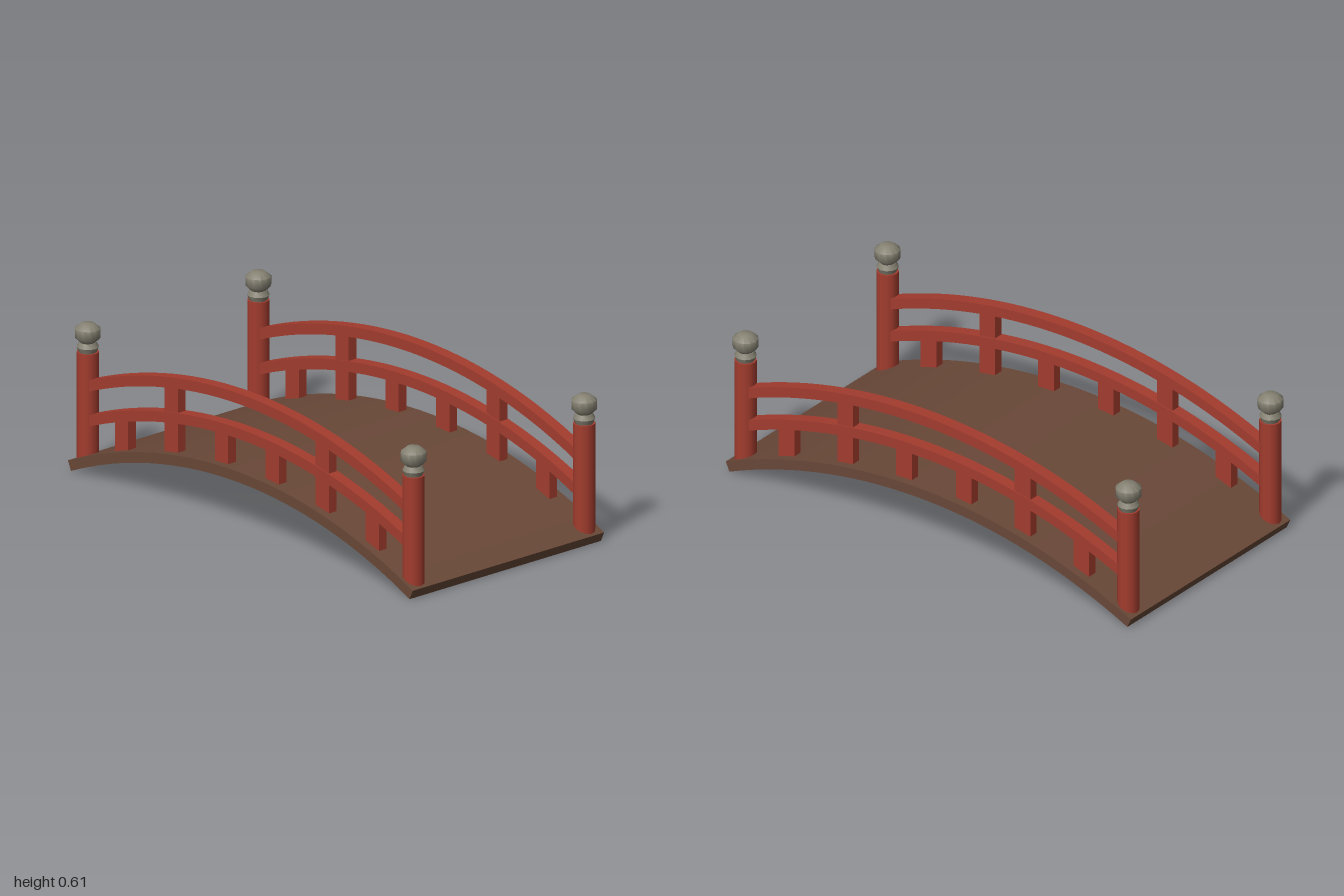
import * as THREE from 'three';
import { toCreasedNormals } from 'three/addons/utils/BufferGeometryUtils.js';

const RADIUS = 2.403;    // deck top arc
const CENTRE_Y = -2.14;  // arc centre height
const THICK = 0.043;

const arcY = (z) => CENTRE_Y + Math.sqrt(RADIUS * RADIUS - z * z);

// Curved beam along z with radially cut ends, centred on x = 0
function archGeometry(halfLength, width, lift) {
  const a = Math.asin(halfLength / RADIUS);
  const steps = 32;
  const points = [];
  for (let i = 0; i <= steps; i++) {
    const t = a - (2 * a * i) / steps;
    points.push(new THREE.Vector2(RADIUS * Math.sin(t), CENTRE_Y + lift + RADIUS * Math.cos(t)));
  }
  for (let i = steps; i >= 0; i--) {
    const t = a - (2 * a * i) / steps;
    const r = RADIUS - THICK;
    points.push(new THREE.Vector2(r * Math.sin(t), CENTRE_Y + lift + r * Math.cos(t)));
  }
  const geometry = new THREE.ExtrudeGeometry(new THREE.Shape(points), { depth: width, bevelEnabled: false });
  geometry.translate(0, 0, -width / 2);
  geometry.rotateY(-Math.PI / 2);
  return toCreasedNormals(geometry, 0.5);
}

export function createModel() {
  const group = new THREE.Group();
  const wood = new THREE.MeshStandardMaterial({ name: 'brown wood', color: 0x694838 });
  const red = new THREE.MeshStandardMaterial({ name: 'red paint', color: 0xa33c2e });
  const stone = new THREE.MeshStandardMaterial({ name: 'grey cap', color: 0x858172 });

  const add = (parent, name, geometry, material, x = 0, y = 0, z = 0) => {
    const mesh = new THREE.Mesh(geometry, material);
    mesh.name = name;
    mesh.position.set(x, y, z);
    parent.add(mesh);
  };

  // Arched walkway
  add(group, 'deck', archGeometry(1, 0.996, 0), wood);

  // Shared railing pieces
  const lowLift = 0.164, highLift = 0.308;
  const lowRail = archGeometry(0.94, 0.05, lowLift);
  const highRail = archGeometry(0.94, 0.05, highLift);
  const post = new THREE.CylinderGeometry(0.044, 0.044, 0.461, 12);
  const collar = new THREE.LatheGeometry([
    [0, 0.494], [0.036, 0.496], [0.044, 0.516], [0.034, 0.535], [0, 0.537],
  ].map(([r, y]) => new THREE.Vector2(r, y)), 12);
  const ball = new THREE.LatheGeometry([
    [0, 0.533], [0.03, 0.535], [0.051, 0.556], [0.051, 0.592], [0.026, 0.612], [0, 0.613],
  ].map(([r, y]) => new THREE.Vector2(r, y)), 12);

  for (const side of [1, -1]) {
    const railing = new THREE.Group();
    railing.name = side > 0 ? 'leftRailing' : 'rightRailing';
    railing.position.x = side * 0.444;
    group.add(railing);

    add(railing, 'lowerRail', lowRail, red);
    add(railing, 'upperRail', highRail, red);

    for (const end of [1, -1]) {
      const z = end * 0.945;
      add(railing, 'endPost', post, red, 0, 0.2655, z);
      add(railing, 'postCollar', toCreasedNormals(collar, 0.6), stone, 0, 0, z);
      add(railing, 'postBall', toCreasedNormals(ball, 0.9), stone, 0, 0, z);

      // Uprights; the middle one of each half reaches the upper rail
      [0.147, 0.438, 0.727].forEach((d, i) => {
        const bottom = arcY(d) - 0.03;
        const top = arcY(d) + (i === 1 ? highLift : lowLift) - 0.025;
        const upright = new THREE.BoxGeometry(0.04, top - bottom, 0.077);
        add(railing, 'upright', upright, red, 0, (top + bottom) / 2, end * d);
      });
    }
  }
  return group;
}
